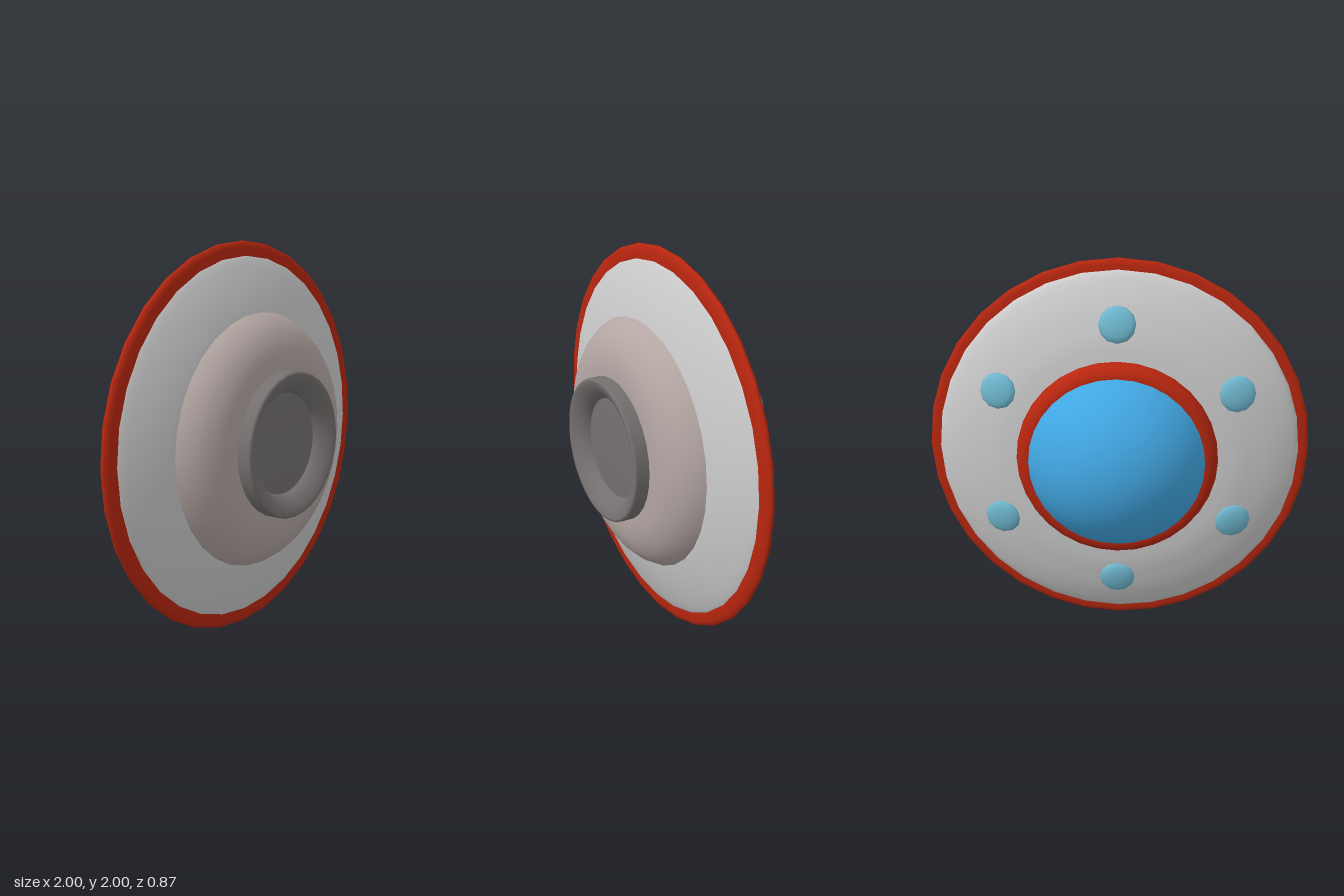
import * as THREE from 'three';

const SIDES = 32;

function paint(color) {
  return new THREE.MeshStandardMaterial({ color, side: THREE.DoubleSide });
}

// Turns a [radius, z] profile (ordered back to front along the outside) around the z axis.
function turned(name, profile, material, smoothSteps = 0) {
  let points = profile.map(([r, z]) => new THREE.Vector2(r, z));
  if (smoothSteps) points = new THREE.SplineCurve(points).getPoints(smoothSteps);
  points.forEach((p) => { p.x = Math.max(p.x, 0); });
  const geometry = new THREE.LatheGeometry(points, SIDES);
  geometry.rotateX(Math.PI / 2);
  const mesh = new THREE.Mesh(geometry, material);
  mesh.name = name;
  return mesh;
}

export function createModel() {
  const model = new THREE.Group();
  model.name = 'flyingSaucer';
  const ship = new THREE.Group();
  ship.name = 'ship';
  ship.position.y = 1;
  model.add(ship);

  const grey = paint(0xcccccc);
  const warmGrey = paint(0xb3a6a3);
  const darkGrey = paint(0x757070);
  const red = paint(0xb8260f);
  const blue = paint(0x42a8e4);
  const paleBlue = paint(0x70bad2);

  // Disc-shaped hull, upper and lower halves
  ship.add(turned('upperHull', [[0.45, -0.1], [0.6, -0.085], [0.7, -0.06], [0.8, -0.028], [0.89, 0.015], [0.94, 0.05], [0.945, 0.085]], grey, 14));
  ship.add(turned('lowerHull', [[0.945, 0.085], [0.925, 0.11], [0.85, 0.145], [0.75, 0.182], [0.65, 0.21], [0.6, 0.217]], grey, 12));

  // Red band around the edge
  ship.add(turned('rimBand', [[0.925, 0.065], [0.972, 0.065], [0.996, 0.076], [1, 0.087], [0.996, 0.098], [0.972, 0.11], [0.925, 0.11]], red));

  // Rounded belly
  ship.add(turned('belly', [[0.652, 0.205], [0.625, 0.25], [0.575, 0.3], [0.5, 0.338], [0.42, 0.354], [0.34, 0.356]], warmGrey, 14));

  // Thruster: wall, sloping mouth and recessed floor
  ship.add(turned('thrusterWall', [[0.37, 0.34], [0.37, 0.42], [0.366, 0.428], [0.358, 0.43]], darkGrey));
  ship.add(turned('thrusterMouth', [[0.358, 0.43], [0.335, 0.425], [0.3, 0.405], [0.272, 0.38], [0.258, 0.355]], darkGrey, 8));
  ship.add(turned('thrusterFloor', [[0.258, 0.355], [0.18, 0.36], [0.09, 0.364], [0, 0.365]], darkGrey));

  // Cockpit collar and its glass dome
  ship.add(turned('collar', [[0.42, -0.17], [0.455, -0.17], [0.485, -0.162], [0.508, -0.135], [0.518, -0.105], [0.518, -0.08]], red));
  const dome = [];
  const radius = 0.515;
  const sweep = Math.asin(0.45 / radius);
  for (let i = 0; i <= 12; i++) {
    const a = (sweep * i) / 12;
    dome.push([radius * Math.sin(a), 0.08 - radius * Math.cos(a)]);
  }
  ship.add(turned('dome', dome, blue));

  // Six flattened lamps lying on the upper hull
  const lampGeometry = new THREE.SphereGeometry(1, 12, 8);
  lampGeometry.rotateX(Math.PI / 2);
  for (let i = 0; i < 6; i++) {
    const arm = new THREE.Group();
    arm.name = 'lamp' + (i + 1);
    arm.rotation.z = (i * Math.PI) / 3;
    const lamp = new THREE.Mesh(lampGeometry, paleBlue);
    lamp.name = 'lampGlass';
    lamp.position.set(0, 0.7, -0.07);
    lamp.rotation.x = 0.22;
    lamp.scale.set(0.094, 0.094, 0.03);
    arm.add(lamp);
    ship.add(arm);
  }

  return model;
}
